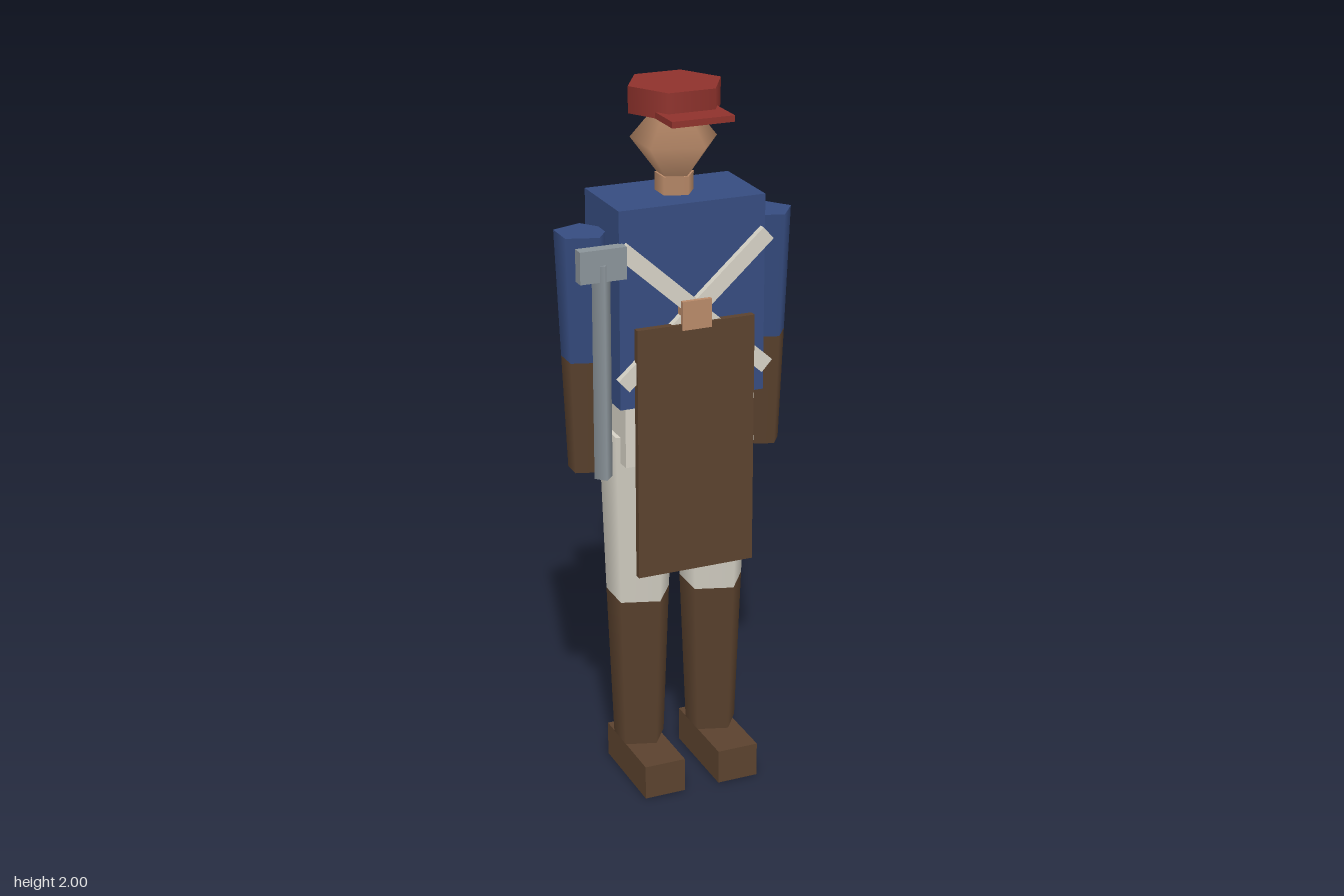
import * as THREE from 'three';

const mat = (name, color) => {
  const m = new THREE.MeshStandardMaterial({ color });
  m.name = name;
  return m;
};

export function createModel() {
  const blue = mat('coat blue', 0x364c80);
  const cream = mat('cream cloth', 0xd6d2c6);
  const brown = mat('brown leather', 0x5b422e);
  const red = mat('cap red', 0x8f322c);
  const skin = mat('skin', 0xb98a69);
  const steel = mat('steel grey', 0x8b949a);

  const model = new THREE.Group();
  model.name = 'figure';
  const MID = -0.006; // body centre line
  const ZC = -0.035; // body depth centre

  const add = (name, geo, material) => {
    const mesh = new THREE.Mesh(geo, material);
    mesh.name = name;
    model.add(mesh);
    return mesh;
  };
  // box given by its limits on each axis
  const box = (name, material, x0, x1, y0, y1, z0, z1) => {
    const mesh = add(name, new THREE.BoxGeometry(x1 - x0, y1 - y0, z1 - z0), material);
    mesh.position.set((x0 + x1) / 2, (y0 + y1) / 2, (z0 + z1) / 2);
    return mesh;
  };
  // upright prism with one corner towards +x
  const prism = (name, material, sides, rTop, rBottom, y0, y1, x, z = ZC) => {
    const geo = new THREE.CylinderGeometry(rTop, rBottom, y1 - y0, sides, 1, false, Math.PI / 2);
    const mesh = add(name, geo, material);
    mesh.position.set(x, (y0 + y1) / 2, z);
    return mesh;
  };

  // body
  box('torso', blue, -0.215, 0.203, 1.155, 1.705, -0.155, 0.085);
  box('hips', cream, -0.195, 0.183, 0.98, 1.155, -0.14, 0.07);

  // limbs keep the same corner direction on both sides
  for (const [side, s] of [['left', 1], ['right', -1]]) {
    const armX = MID + s * 0.267;
    const legX = MID + s * 0.112;
    prism(side + 'Sleeve', blue, 5, 0.076, 0.061, 1.275, 1.625, armX);
    prism(side + 'Glove', brown, 5, 0.061, 0.047, 0.955, 1.275, armX);
    prism(side + 'Thigh', cream, 5, 0.11, 0.093, 0.555, 1.055, legX);
    prism(side + 'Boot', brown, 5, 0.093, 0.075, 0.1, 0.555, legX);
    box(side + 'Foot', brown, legX - 0.06, legX + 0.06, 0, 0.1, -0.13, 0.154);
  }

  // head, neck and cap
  prism('neck', skin, 5, 0.055, 0.055, 1.7, 1.755, MID);
  const headGeo = new THREE.SphereGeometry(0.122, 5, 2, Math.PI);
  headGeo.scale(1, 1.23, 1);
  add('head', headGeo, skin).position.set(MID, 1.845, ZC);
  prism('cap', red, 6, 0.132, 0.132, 1.928, 2, MID);
  box('capBrim', red, -0.094, 0.081, 1.928, 1.945, 0.04, 0.154);

  // crossed chest straps
  for (const s of [1, -1]) {
    const strap = add('chestStrap', new THREE.BoxGeometry(0.56, 0.045, 0.02), cream);
    strap.position.set(-0.003, 1.415, 0.094);
    strap.rotation.z = s * 0.733;
  }

  // front board with its clasp
  box('frontBoard', brown, -0.176, 0.163, 0.667, 1.382, 0.092, 0.112);
  box('boardClasp', skin, -0.048, 0.036, 1.366, 1.446, 0.085, 0.116);

  // hammer held at the right side
  prism('hammerHandle', steel, 4, 0.026, 0.026, 0.977, 1.575, -0.271, 0.098);
  box('hammerHead', steel, -0.335, -0.205, 1.53, 1.618, 0.081, 0.115);

  return model;
}
